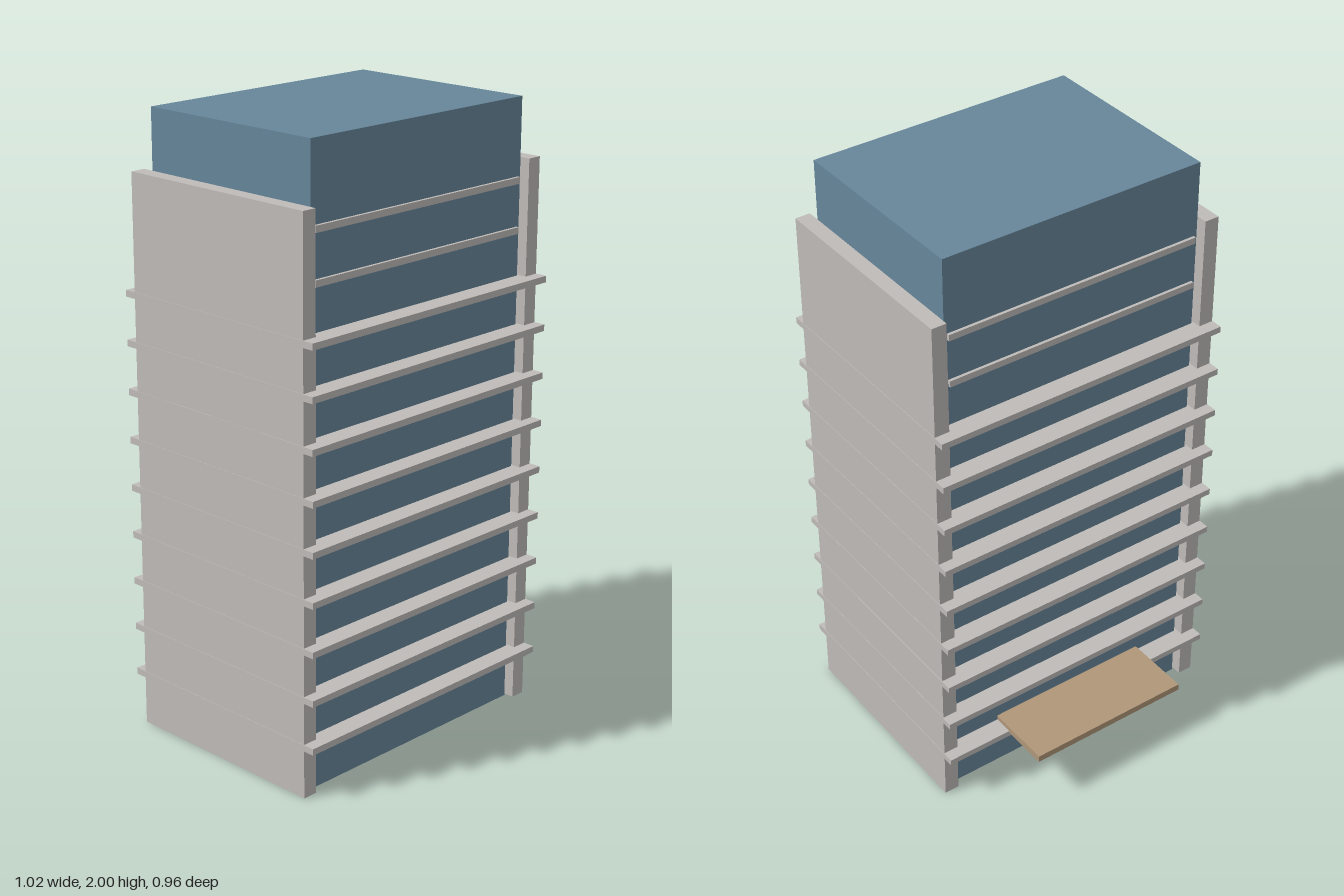
import * as THREE from 'three';

export function createModel() {
  const building = new THREE.Group();
  building.name = 'officeTower';

  const glass = new THREE.MeshStandardMaterial({ name: 'blue glass', color: 0x66869a });
  const concrete = new THREE.MeshStandardMaterial({ name: 'pale concrete', color: 0xbfbbb8 });
  const timber = new THREE.MeshStandardMaterial({ name: 'tan timber', color: 0xb09679 });

  // Box placed by its centre
  function box(name, material, [w, h, d], [x, y, z]) {
    const mesh = new THREE.Mesh(new THREE.BoxGeometry(w, h, d), material);
    mesh.name = name;
    mesh.position.set(x, y, z);
    building.add(mesh);
  }

  const centreZ = 0.081; // the tower sits forward, balancing the rear canopy

  // Glazed core
  box('glassCore', glass, [0.905, 2, 0.666], [0, 1, centreZ]);

  // Solid side walls, with a narrow gap to the core
  for (const side of [-1, 1]) {
    const name = side > 0 ? 'leftWall' : 'rightWall';
    box(name, concrete, [0.05, 1.81, 0.722], [side * 0.486, 0.905, centreZ]);
  }

  // Floor slabs: nine wide ones, then two that stay between the walls
  for (let floor = 0; floor < 11; floor++) {
    const wide = floor < 9;
    const y = 0.169 + floor * 0.1574;
    box(wide ? 'floorSlab' : 'upperFloorSlab', concrete,
      wide ? [1.025, 0.021, 0.8] : [0.884, 0.021, 0.686], [0, y, centreZ]);
  }

  // Entrance canopy at the back
  box('canopy', timber, [0.57, 0.023, 0.232], [0, 0.185, -0.366]);

  return building;
}
